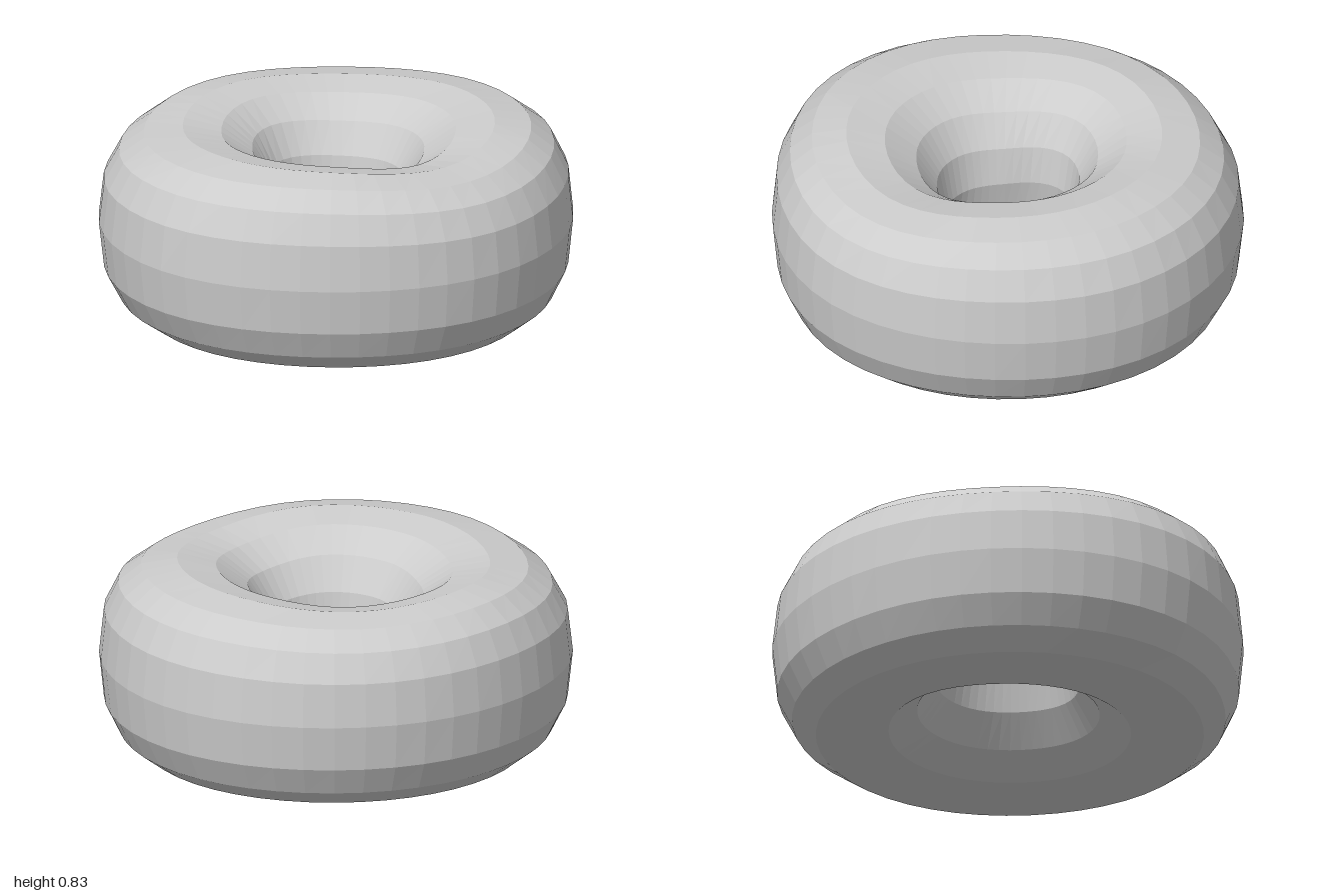
import * as THREE from 'three';

const TUBE = 16, RING = 48;

// Closed smooth curve through (outer radius, hole radius, top height),
// every 45 degrees: +x, +x-z, -z, -x-z, -x, -x+z, +z, +x+z
const lumps = new THREE.CatmullRomCurve3([
  [1.0, 0.26, 0.82], [0.995, 0.285, 0.80], [0.98, 0.31, 0.815], [0.99, 0.24, 0.80],
  [1.0, 0.24, 0.82], [0.95, 0.24, 0.825], [0.97, 0.25, 0.79], [0.965, 0.235, 0.82],
].map((p) => new THREE.Vector3(...p)), true, 'catmullrom', 0.5);

// Signed power, squares off a circular section
const soft = (v, e) => Math.sign(v) * Math.abs(v) ** e;

// Torus whose vertices are moved onto an uneven, slightly squared section
function doughGeometry() {
  const geo = new THREE.TorusGeometry(1, 0.5, TUBE, RING);
  const pos = geo.attributes.position;
  for (let j = 0; j <= TUBE; j++) {
    const v = (j / TUBE) * Math.PI * 2;
    const c = Math.cos(v), s = Math.sin(v);
    const e = c > 0 ? 0.8 : 0.97; // fuller outside, rounder towards the hole
    for (let i = 0; i <= RING; i++) {
      const u = (i / RING) * Math.PI * 2;
      const { x: outer, y: hole, z: top } = lumps.getPoint((i % RING) / RING);
      const crest = 0.65 + (hole - 0.26) * 0.3;
      const radius = crest + soft(c, e) * (c > 0 ? outer - crest : crest - hole);
      const y = 0.41 + soft(s, e) * (s > 0 ? top - 0.41 : 0.41);
      pos.setXYZ(j * (RING + 1) + i, radius * Math.cos(u), y, -radius * Math.sin(u));
    }
  }
  geo.computeVertexNormals();
  return geo;
}

export function createModel() {
  const group = new THREE.Group();
  group.name = 'ringDoughnut';

  const material = new THREE.MeshStandardMaterial({ color: 0xcccccc, flatShading: true });
  const dough = new THREE.Mesh(doughGeometry(), material);
  dough.name = 'dough';
  group.add(dough);

  // Tiny pink bead floating in the hole
  const bead = new THREE.Mesh(
    new THREE.SphereGeometry(0.014, 12, 8),
    new THREE.MeshStandardMaterial({ color: 0xd9a3ad }),
  );
  bead.name = 'bead';
  bead.position.set(0.01, 0.28, 0);
  group.add(bead);

  return group;
}
